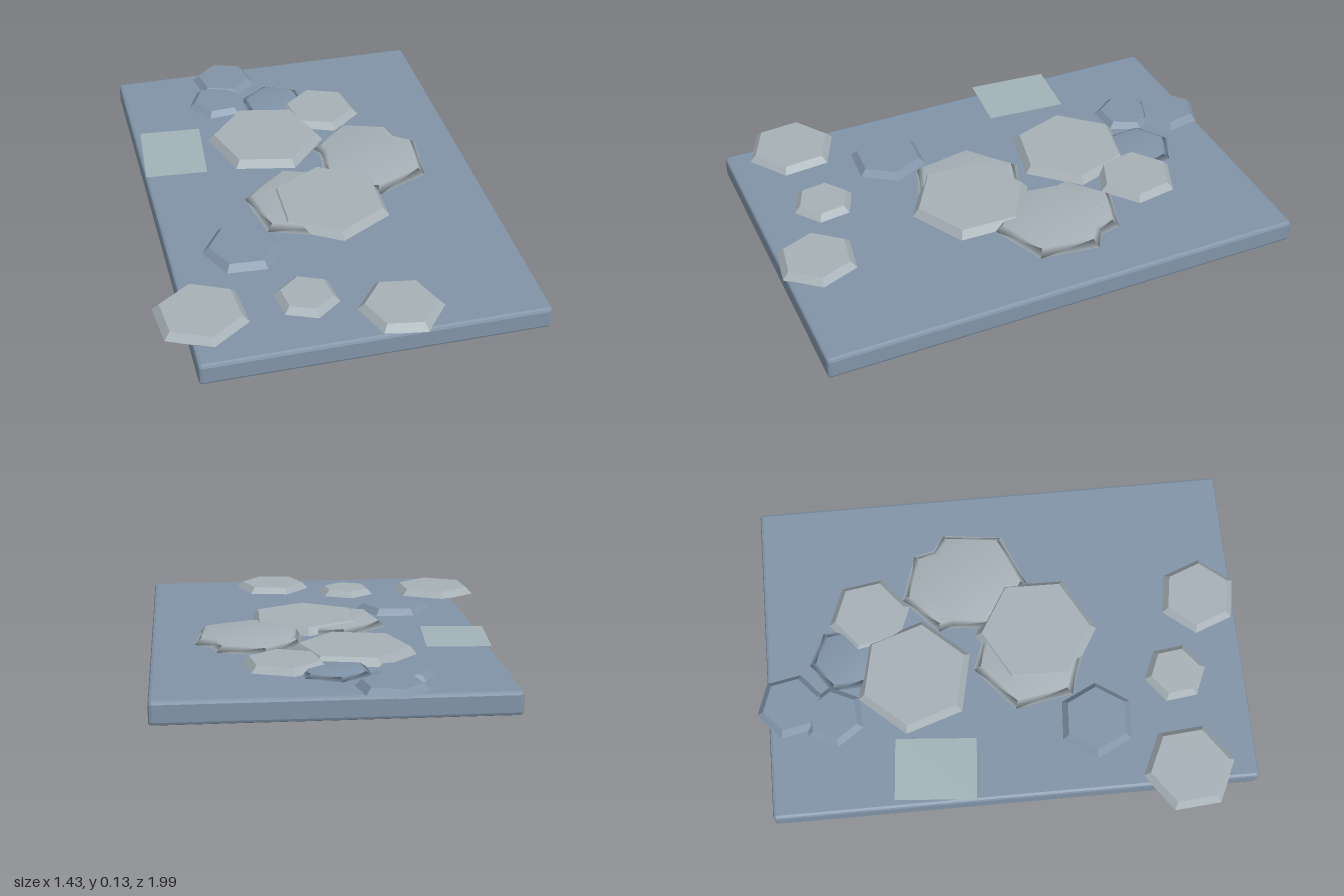
import * as THREE from 'three';
import { RoundedBoxGeometry } from 'three/addons/geometries/RoundedBoxGeometry.js';
import { mergeVertices } from 'three/addons/utils/BufferGeometryUtils.js';

const material = (color, extra = {}) => new THREE.MeshStandardMaterial({ color, ...extra });
const BLUE = 0x8194a8, STONE = 0xa6b0b6, PALE = 0xa2b3b8;
const BASE_TOP = 0.09;

// Bevelled six-sided tile; (vx, vz) points from its centre towards one corner
function hexTile(radius, inset, height, vx, vz, smooth) {
  let geo = new THREE.CylinderGeometry(radius - inset, radius, height, 6, 1, false, Math.atan2(vx, vz));
  if (smooth) {
    // shared corners give a soft, pillow-like shading
    geo.deleteAttribute('uv');
    geo.deleteAttribute('normal');
    geo = mergeVertices(geo, 1e-4);
    geo.computeVertexNormals();
  }
  return geo.translate(0, BASE_TOP - 0.002 + height / 2, 0);
}

export function createModel() {
  const group = new THREE.Group();
  const add = (name, geo, mat, x, y, z) => {
    const mesh = new THREE.Mesh(geo, mat);
    mesh.name = name;
    mesh.position.set(x, y, z);
    group.add(mesh);
    return mesh;
  };

  const blue = material(BLUE, { flatShading: true });
  const stone = material(STONE, { flatShading: true });

  // Chamfered base slab
  add('baseSlab', new RoundedBoxGeometry(1.325, BASE_TOP, 1.93, 1, 0.013), blue, 0.0525, BASE_TOP / 2, 0.013);

  // Crisp tiles: x, z, radius, corner direction x, z, height, material
  const tiles = [
    [-0.15, -0.86, 0.14, -5, -26, 0.028, blue],
    [-0.21, -0.69, 0.13, 24, -2, 0.024, blue],
    [-0.07, -0.355, 0.245, 14, 43, 0.033, stone],
    [0.21, -0.52, 0.17, -5, -32, 0.029, stone],
    [0.08, 0.155, 0.25, -1, 48, 0.033, stone],
    [-0.32, 0.36, 0.16, 29, 2, 0.028, blue],
    [-0.55, 0.705, 0.186, -3, -35, 0.028, stone],
    [-0.15, 0.70, 0.128, -3, -24, 0.027, stone],
    [0.175, 0.835, 0.165, 31, 5, 0.028, stone],
  ];
  tiles.forEach(([x, z, r, vx, vz, h, mat], i) =>
    add(`hexTile${i + 1}`, hexTile(r, 0.028, h, vx, vz, false), mat, x, 0, z));

  // Softly shaded tiles that overlap one another
  const softTiles = [
    [0.31, -0.18, 0.206, -8, -38, 0.026, STONE],
    [0.325, -0.095, 0.24, 41, -17, 0.027, STONE],
    [-0.02, 0.122, 0.24, -8, -45, 0.026, STONE],
    [0.03, -0.63, 0.15, -2, -29, 0.016, BLUE],
  ];
  softTiles.forEach(([x, z, r, vx, vz, h, color], i) =>
    add(`softTile${i + 1}`, hexTile(r, 0.032, h, vx, vz, true), material(color), x, 0, z));

  // Thin square sheet hovering above the slab
  const sheet = add('floatingSheet', new THREE.PlaneGeometry(0.25, 0.323).rotateX(-Math.PI / 2),
    material(PALE, { side: THREE.DoubleSide }), -0.475, 0.13, -0.298);
  sheet.rotation.y = -0.08;

  return group;
}
